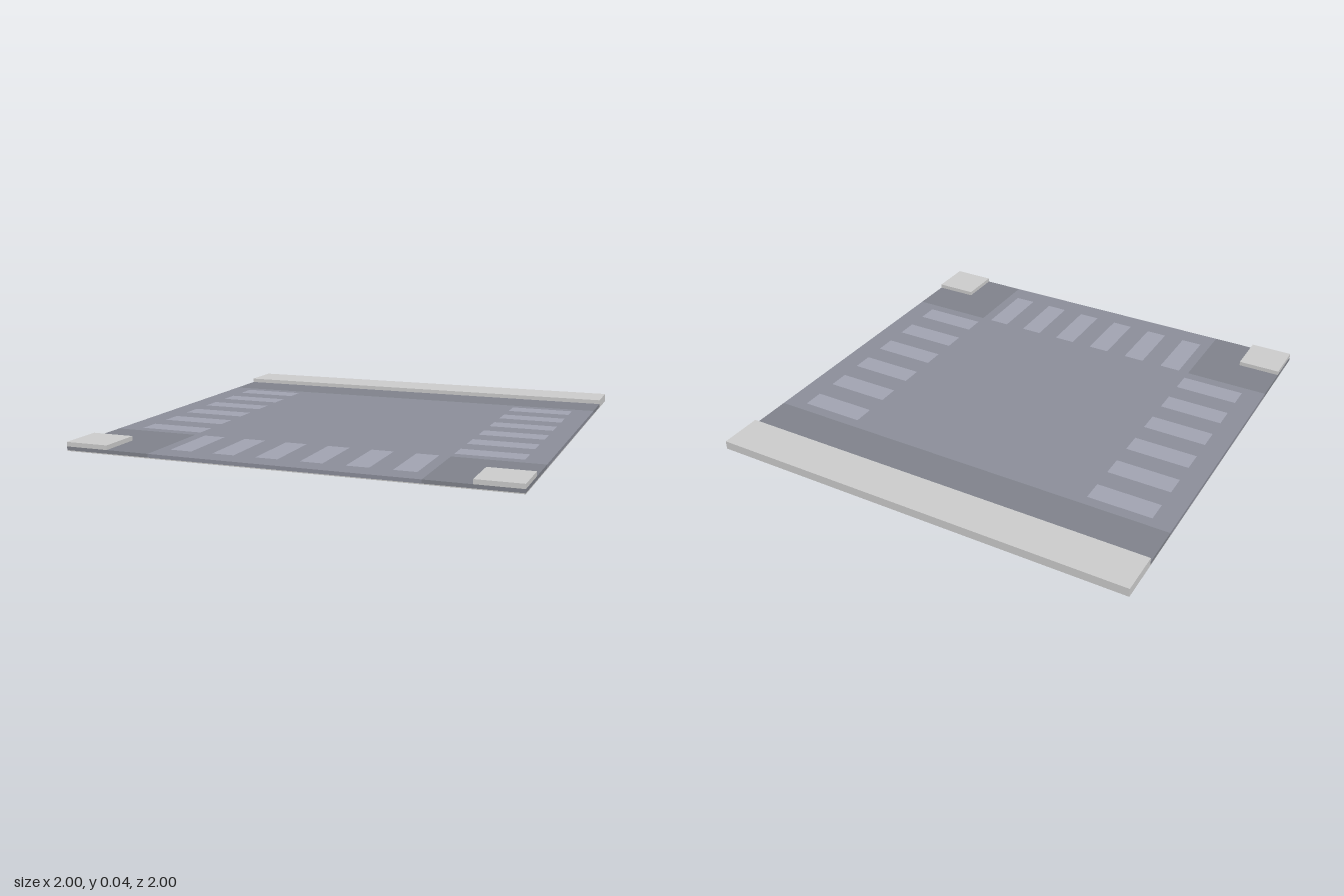
import * as THREE from 'three';

const paint = (color) => new THREE.MeshStandardMaterial({ color });

export function createModel() {
  const tile = new THREE.Group();
  tile.name = 'roadJunctionTile';

  const grey = paint(0xcccccc);
  const verge = paint(0x7f828b);
  const asphalt = paint(0x8b8d99);
  const marking = paint(0xa1a3b1);
  const BASE = 0.004, ROAD = 0.02, KERB = 0.04;

  // Box given by its extents in x, y and z
  function slab(name, material, [x0, x1], [y0, y1], [z0, z1]) {
    const geometry = new THREE.BoxGeometry(x1 - x0, y1 - y0, z1 - z0);
    geometry.translate((x0 + x1) / 2, (y0 + y1) / 2, (z0 + z1) / 2);
    const mesh = new THREE.Mesh(geometry, material);
    mesh.name = name;
    tile.add(mesh);
  }

  // Thin painted rectangle lying just above the road
  function stripe(name, width, depth, x, z) {
    const geometry = new THREE.PlaneGeometry(width, depth).rotateX(-Math.PI / 2);
    const mesh = new THREE.Mesh(geometry, marking);
    mesh.name = name;
    mesh.position.set(x, ROAD + 0.0005, z);
    tile.add(mesh);
  }

  // Underside and the two arms of the road
  slab('base', grey, [-1, 1], [0, BASE], [-1, 1]);
  slab('mainRoad', asphalt, [-1, 1], [BASE, ROAD], [-0.6, 0.6]);
  slab('sideRoad', asphalt, [-0.6, 0.6], [BASE, ROAD], [0.6, 1]);

  // Darker road edges with the raised pavements beside them
  slab('backVerge', verge, [-1, 1], [BASE, ROAD], [-0.8, -0.6]);
  slab('backPavement', grey, [-1, 1], [BASE, KERB], [-1, -0.8]);
  for (const [side, s] of [['left', 1], ['right', -1]]) {
    const span = (a, b) => (s > 0 ? [a, b] : [-b, -a]);
    slab(side + 'Verge', verge, span(0.6, 1), [BASE, ROAD], [0.6, 1]);
    slab(side + 'CornerPavement', grey, span(0.8, 1), [ROAD, KERB], [0.8, 1]);
  }

  // Pedestrian crossings on the three arms
  for (let i = 0; i < 6; i++) {
    const offset = -0.5 + i * 0.2;
    stripe('leftCrossingStripe', 0.3, 0.1, 0.75, offset);
    stripe('rightCrossingStripe', 0.3, 0.1, -0.75, offset);
    stripe('frontCrossingStripe', 0.1, 0.3, offset, 0.75);
  }

  return tile;
}
